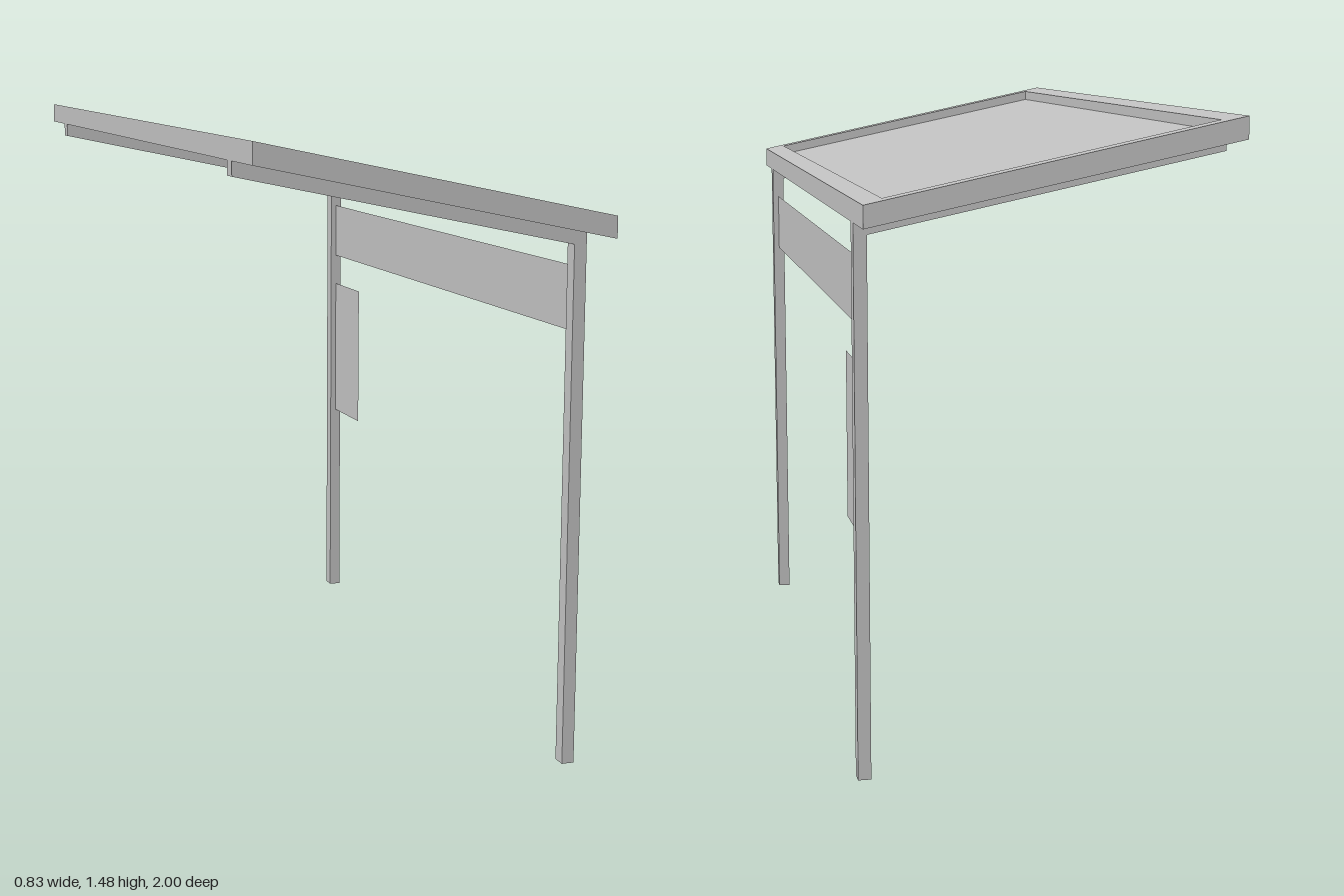
import * as THREE from 'three';

const HALF_W = 0.415, SLOPE = -0.212, TOP = 1.388, RIM = 0.05;
const roofY = (x, drop) => TOP - drop + SLOPE * x;

export function createModel() {
  const model = new THREE.Group();
  const grey = new THREE.MeshStandardMaterial({ color: 0xc0c0c0 });
  const sheetGrey = new THREE.MeshStandardMaterial({ color: 0xc0c0c0, side: THREE.DoubleSide });

  const add = (name, geometry, material, x = 0, y = 0, z = 0) => {
    const mesh = new THREE.Mesh(geometry, material);
    mesh.name = name;
    mesh.position.set(x, y, z);
    model.add(mesh);
  };
  const rectangle = (Type, w, h) => new Type([[-w, -h], [w, -h], [w, h], [-w, h]].map((p) => new THREE.Vector2(...p)));
  // Lay a geometry flat and shear it so its ends stay vertical
  const slope = (geometry) => geometry.rotateX(-Math.PI / 2)
    .applyMatrix4(new THREE.Matrix4().makeShear(SLOPE, 0, 0, 0, 0, 0));

  // Roof rim with a recessed sheet halfway down
  const rim = rectangle(THREE.Shape, HALF_W, 1);
  rim.holes.push(rectangle(THREE.Path, 0.368, 0.952));
  add('roofRim', slope(new THREE.ExtrudeGeometry(rim, { depth: RIM, bevelEnabled: false })), grey, 0, TOP - RIM);
  add('roofSheet', slope(new THREE.PlaneGeometry(0.736, 1.904)), sheetGrey, 0, TOP - 0.024);

  // Post and sloping roof arm in one profile, at both ends
  const inner = HALF_W - 0.03, armDrop = RIM + 0.033;
  const support = new THREE.Shape([
    [inner, 0], [HALF_W, 0], [HALF_W, roofY(HALF_W, RIM)], [-HALF_W, roofY(-HALF_W, RIM)],
    [-HALF_W, roofY(-HALF_W, armDrop)], [inner, roofY(inner, armDrop)],
  ].map((p) => new THREE.Vector2(...p)));
  for (const z of [0.815, -0.85]) {
    add('postAndArm', new THREE.ExtrudeGeometry(support, { depth: 0.035, bevelEnabled: false }), grey, 0, 0, z);
  }

  // Thin boards between and beside the posts
  const board = (name, z0, z1, y0, y1) =>
    add(name, new THREE.PlaneGeometry(z1 - z0, y1 - y0).rotateY(Math.PI / 2), sheetGrey, 0.4, (y0 + y1) / 2, (z0 + z1) / 2);
  board('headerBoard', -0.815, 0.815, 1.022, 1.172);
  board('noticeBoard', -0.815, -0.61, 0.55, 0.937);

  return model;
}
